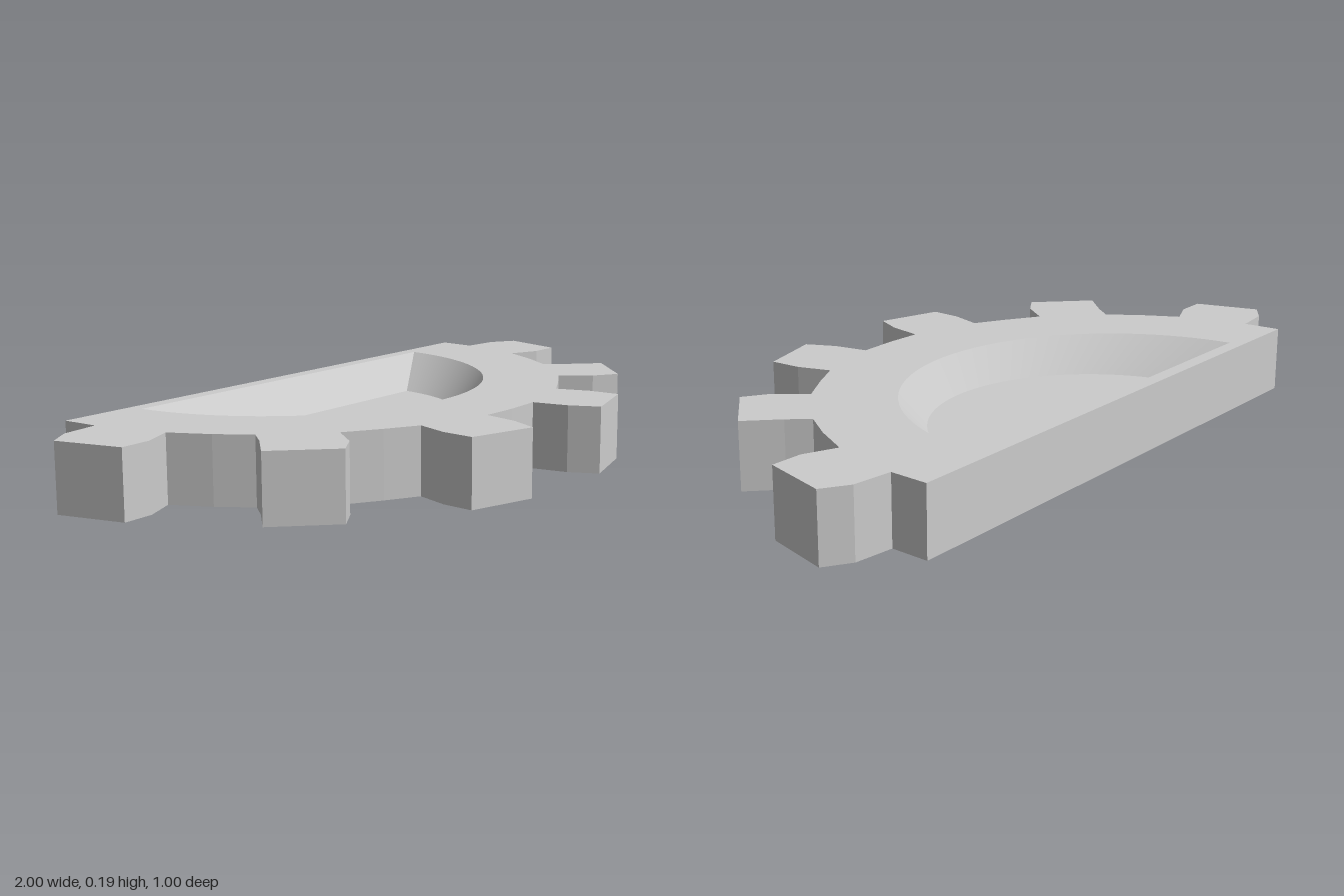
import * as THREE from 'three';
import { mergeGeometries, toCreasedNormals } from 'three/addons/utils/BufferGeometryUtils.js';

const HEIGHT = 0.185;
const FLOOR = 0.085;

// Right half of the toothed outline as [x, z], from the straight back edge to the front centre
const HALF = [
  [0.825, -0.5], [0.82, -0.393],
  [0.93, -0.38], [1, -0.335], [0.95, -0.15], [0.86, -0.152], [0.77, -0.19],
  [0.715, -0.085], [0.655, 0.005],
  [0.7, 0.06], [0.78, 0.14], [0.64, 0.28], [0.57, 0.235], [0.508, 0.153],
  [0.41, 0.213], [0.32, 0.262],
  [0.35, 0.355], [0.355, 0.445], [0.168, 0.5], [0.13, 0.42], [0.11, 0.32],
  [0, 0.325],
];

// Vertical or sloping band between two matching loops of plan points (x, -z)
function band(lower, y0, upper, y1) {
  const pos = [];
  lower.forEach((a, i) => {
    const j = (i + 1) % lower.length;
    const b = lower[j], c = upper[j], d = upper[i];
    const A = [a.x, y0, -a.y], B = [b.x, y0, -b.y], C = [c.x, y1, -c.y], D = [d.x, y1, -d.y];
    pos.push(...A, ...B, ...C, ...A, ...C, ...D);
  });
  return new THREE.BufferGeometry().setAttribute('position', new THREE.Float32BufferAttribute(pos, 3));
}

// Flat horizontal face, optionally with a hole or facing down
function cap(loop, y, hole = null, down = false) {
  const shape = new THREE.Shape(loop);
  if (hole) shape.holes.push(new THREE.Path(hole));
  const geo = new THREE.ShapeGeometry(shape).rotateX(-Math.PI / 2).translate(0, y, 0);
  if (down) geo.index.array.reverse();
  geo.deleteAttribute('uv');
  geo.deleteAttribute('normal');
  return geo.toNonIndexed();
}

export function createModel() {
  const group = new THREE.Group();
  const material = new THREE.MeshStandardMaterial({ color: 0xcccccc });
  const add = (name, parts, crease) => {
    const mesh = new THREE.Mesh(toCreasedNormals(mergeGeometries(parts), crease), material);
    mesh.name = name;
    group.add(mesh);
  };

  // Mirrored outline, counter-clockwise from above
  const mirrored = HALF.slice(0, -1).reverse().map(([x, z]) => [-x, z]);
  const outline = [...HALF, ...mirrored].map(([x, z]) => new THREE.Vector2(x, -z)).reverse();

  // Half-round rim of the recess, and its smaller floor
  const rim = [];
  const N = 48, start = Math.PI + 0.067, sweep = Math.PI - 0.134;
  for (let i = 0; i <= N; i++) {
    const a = start + (sweep * i) / N;
    rim.push(new THREE.Vector2(0.601 * Math.cos(a), 0.5 + 0.601 * Math.sin(a)));
  }
  const floor = rim.map((p) => new THREE.Vector2(p.x * 0.765, 0.382 + (p.y - 0.46) * 0.765));

  // Half gear body: walls, underside and the top around the recess
  add('gearBody', [
    band(outline, 0, outline, HEIGHT),
    cap(outline, 0, null, true),
    cap(outline, HEIGHT, rim),
  ], 0.05);

  // Recess with sloping sides
  add('recess', [
    band([...floor].reverse(), FLOOR, [...rim].reverse(), HEIGHT),
    cap(floor, FLOOR),
  ], 0.4);

  return group;
}
